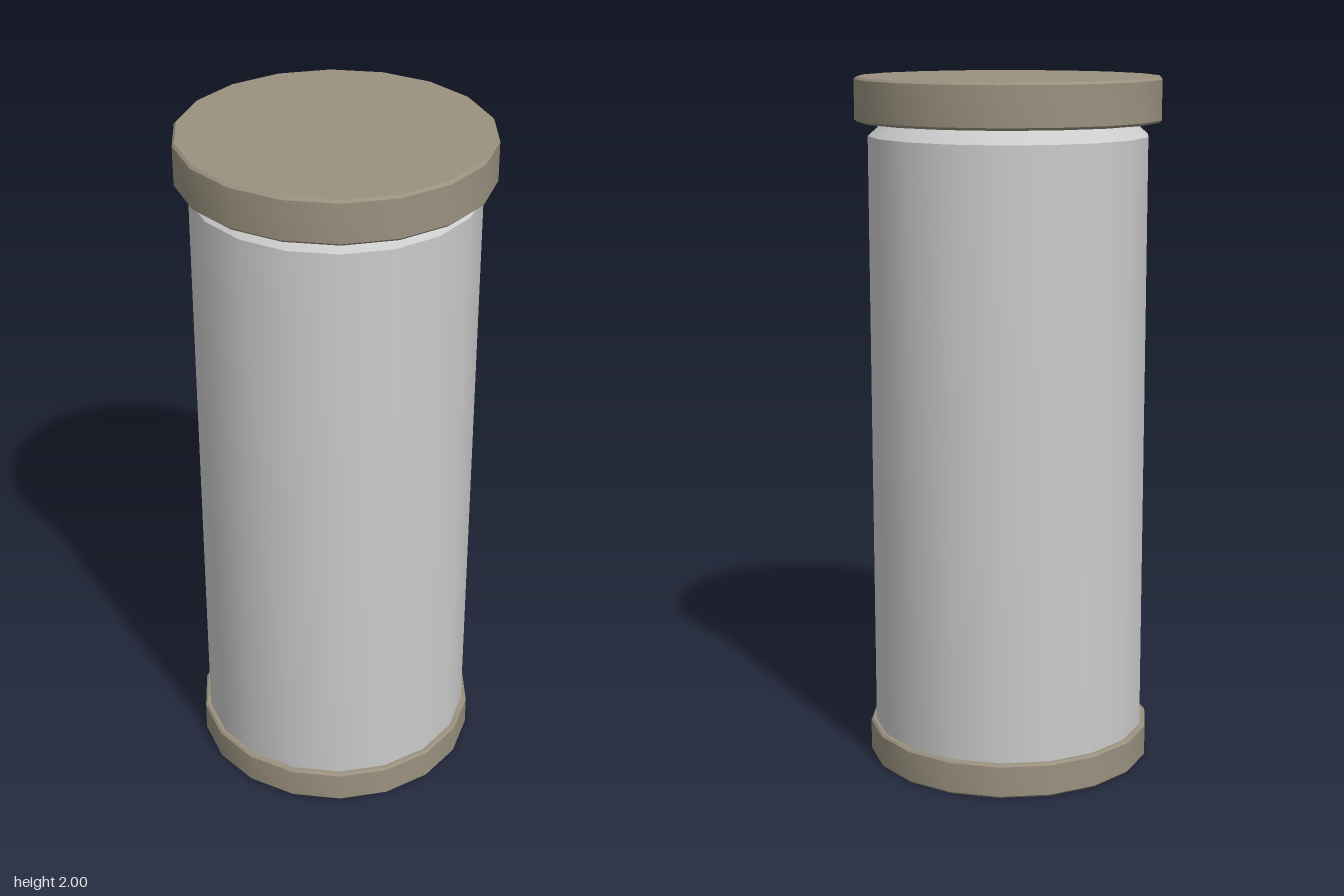
import * as THREE from 'three';
import { toCreasedNormals } from 'three/addons/utils/BufferGeometryUtils.js';

const SIDES = 18;
const grey = new THREE.MeshStandardMaterial({ color: 0xcccccc });
const brown = new THREE.MeshStandardMaterial({ color: 0x9a917f });

// Revolve a bottom-to-top [radius, height] profile, smooth around and creased at rims
function turned(name, profile, material) {
  const points = profile.map(([r, y]) => new THREE.Vector2(r, y));
  const geometry = toCreasedNormals(new THREE.LatheGeometry(points, SIDES), 0.6);
  const mesh = new THREE.Mesh(geometry, material);
  mesh.name = name;
  return mesh;
}

// Solid disc with small chamfers on both rims
function disc(name, radius, bottom, top, bevel) {
  return turned(name, [
    [0, bottom], [radius - bevel, bottom], [radius, bottom + bevel],
    [radius, top - bevel], [radius - bevel, top], [0, top],
  ], brown);
}

export function createModel() {
  const model = new THREE.Group();
  model.name = 'canister';

  // Cylindrical body with a sloped shoulder tucked under the lid
  model.add(turned('body', [
    [0, 0.005], [0.4, 0.005], [0.4, 1.835], [0.355, 1.875], [0.355, 1.89], [0, 1.89],
  ], grey));

  // Base ring and wider lid
  model.add(disc('base', 0.416, 0, 0.1, 0.006));
  model.add(disc('lid', 0.437, 1.875, 2, 0.007));

  return model;
}
